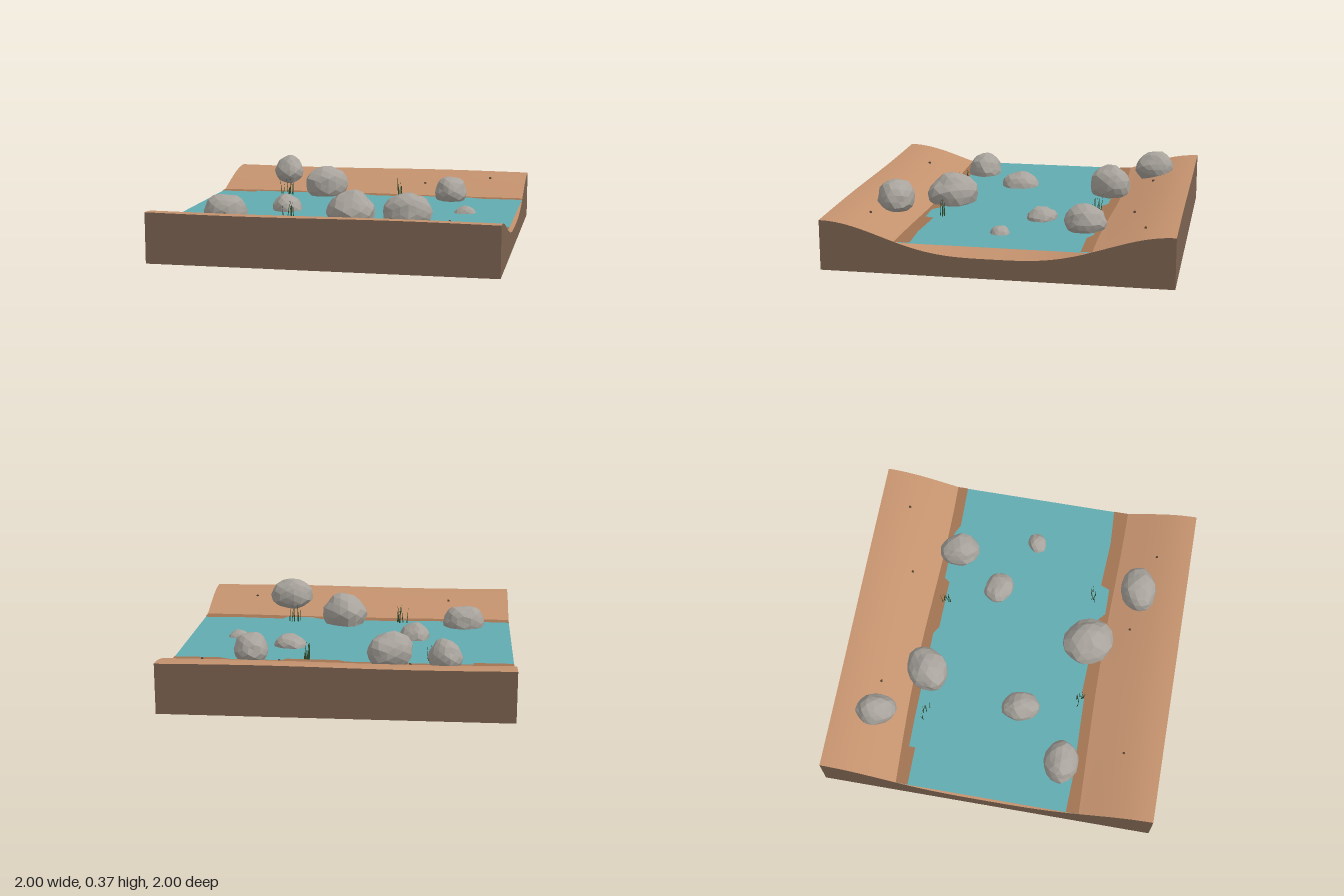
import * as THREE from 'three';

const HALF = 0.901;      // half side of the square tile
const WATER = 0.165;     // water level
const TURN = -0.1168;    // tile is turned slightly about y

// Height of the ground: a smooth river valley running along u
function groundHeight(u, v) {
  const bend = 0.015 * Math.sin(3.2 * u + 2.2) * (1 - (v / HALF) ** 2);
  const t = Math.min(1, Math.abs(v + bend) / 0.9);
  const s = (1 - Math.cos(Math.PI * t)) / 2;
  return 0.104 + 0.16 * Math.pow(s, 1.7) + 0.003 * Math.sin(4 * u) * t * t;
}

// Ground height at a model position (undoing the tile's turn)
function heightAt(x, z) {
  const c = Math.cos(TURN), s = Math.sin(TURN);
  return groundHeight(x * c - z * s, x * s + z * c);
}

function seeded(seed) {
  let n = seed;
  return () => (n = (n * 16807) % 2147483647) / 2147483647;
}

const mat = (color, extra = {}) => new THREE.MeshStandardMaterial({ color, ...extra });

function addMesh(parent, name, geometry, material) {
  const mesh = new THREE.Mesh(geometry, material);
  mesh.name = name;
  parent.add(mesh);
  return mesh;
}

// Sandy valley surface
function groundGeometry() {
  const g = new THREE.PlaneGeometry(2 * HALF, 2 * HALF, 40, 64).rotateX(-Math.PI / 2);
  const p = g.attributes.position;
  for (let i = 0; i < p.count; i++) p.setY(i, groundHeight(p.getX(i), p.getZ(i)));
  g.computeVertexNormals();
  return g;
}

// Upright side of the tile whose top edge follows the ground
function wallGeometry(angle) {
  const g = new THREE.PlaneGeometry(2 * HALF, 1, 64, 1).translate(0, 0.5, HALF).rotateY(angle);
  const p = g.attributes.position;
  for (let i = 0; i < p.count; i++) {
    p.setY(i, p.getY(i) > 0.5 ? groundHeight(p.getX(i), p.getZ(i)) : 0);
  }
  return g;
}

// Flat wet shore: ragged inner edge, outer edge buried in the bank
function shoreGeometry(inner, side) {
  const points = inner.map(([u, v]) => new THREE.Vector2(u, -v * side));
  points.push(new THREE.Vector2(HALF, -0.53 * side), new THREE.Vector2(-HALF, -0.53 * side));
  return new THREE.ShapeGeometry(new THREE.Shape(points)).rotateX(-Math.PI / 2);
}

// Faceted boulder: a sphere roughened by a rule that keeps shared corners together
function boulderGeometry(seed) {
  const g = new THREE.IcosahedronGeometry(1, 2);
  const p = g.attributes.position;
  const d = new THREE.Vector3();
  for (let i = 0; i < p.count; i++) {
    d.fromBufferAttribute(p, i).normalize();
    const wave = Math.sin(d.x * 5 + seed) + Math.sin(d.y * 6 + seed * 2) + Math.sin(d.z * 5.5 + seed * 3);
    const fine = Math.sin(Math.round(d.x * 100) * 1.3 + Math.round(d.y * 100) * 2.1 + Math.round(d.z * 100) * 3.7 + seed);
    d.multiplyScalar(0.97 + 0.022 * wave + 0.035 * fine);
    p.setXYZ(i, d.x, d.y, d.z);
  }
  g.computeVertexNormals();
  return g;
}

export function createModel() {
  const model = new THREE.Group();
  model.name = 'riverTile';

  const sand = mat(0xc4926e);
  const wetSand = mat(0xa07453, { side: THREE.DoubleSide });
  const earth = mat(0x7c6351);
  const water = mat(0x62abb0, { side: THREE.DoubleSide });
  const stone = mat(0xa8a39c, { flatShading: true });
  const reed = mat(0x2f4a2c);
  const pebbleMat = mat(0x5a4636, { flatShading: true });

  // Tile block
  const tile = new THREE.Group();
  tile.name = 'tile';
  tile.rotation.y = TURN;
  model.add(tile);
  addMesh(tile, 'ground', groundGeometry(), sand);
  for (let k = 0; k < 4; k++) addMesh(tile, 'earthSide', wallGeometry((k * Math.PI) / 2), earth);
  addMesh(tile, 'underside', new THREE.PlaneGeometry(2 * HALF, 2 * HALF).rotateX(Math.PI / 2), earth);

  // River surface
  addMesh(tile, 'water', new THREE.PlaneGeometry(2 * HALF, 0.98).rotateX(-Math.PI / 2), water).position.y = WATER;

  // Ragged shores
  const farEdge = [[-HALF, 0.428], [-0.69, 0.428], [-0.69, 0.462], [-0.5, 0.464], [-0.02, 0.46],
    [0.02, 0.434], [0.3, 0.43], [0.32, 0.46], [0.6, 0.46], [0.66, 0.432], [HALF, 0.435]];
  const nearEdge = [[-HALF, 0.437], [-0.7, 0.445], [-0.26, 0.435], [-0.22, 0.418], [0.04, 0.43],
    [0.22, 0.44], [0.26, 0.475], [0.41, 0.475], [0.43, 0.425], [0.7, 0.44], [HALF, 0.43]];
  addMesh(tile, 'farShore', shoreGeometry(farEdge, -1), wetSand).position.y = WATER + 0.004;
  addMesh(tile, 'nearShore', shoreGeometry(nearEdge, 1), wetSand).position.y = WATER + 0.004;

  // Boulders: x, z, radii x y z, top height, turn
  const boulders = [
    [-0.46, -0.73, 0.087, 0.095, 0.112, 0.362, 0.15],
    [-0.2, -0.47, 0.135, 0.11, 0.112, 0.337, 0.6],
    [0.535, -0.34, 0.095, 0.09, 0.115, 0.3, 0.2],
    [0.33, -0.107, 0.095, 0.075, 0.08, 0.232, -0.5],
    [0.62, 0.097, 0.07, 0.06, 0.058, 0.203, 0.3],
    [-0.37, 0.055, 0.085, 0.085, 0.11, 0.25, 0.1],
    [-0.675, 0.29, 0.122, 0.095, 0.098, 0.285, -0.1],
    [0.015, 0.41, 0.13, 0.125, 0.145, 0.337, 0.45],
    [0.325, 0.68, 0.13, 0.1, 0.102, 0.368, 0.1],
  ];
  boulders.forEach(([x, z, rx, ry, rz, top, turn], i) => {
    const b = addMesh(model, 'boulder', boulderGeometry(i * 1.7 + 1), stone);
    b.scale.set(rx, ry, rz);
    b.position.set(x, top - ry, z);
    b.rotation.y = turn;
  });

  // Reed clumps at the water's edge
  const rand = seeded(77);
  for (const [x, z] of [[-0.44, -0.465], [0.23, -0.4], [-0.315, 0.38], [0.31, 0.43]]) {
    const clump = new THREE.Group();
    clump.name = 'reedClump';
    clump.position.set(x, heightAt(x, z), z);
    for (let k = 0; k < 8; k++) {
      const height = 0.09 + 0.05 * rand();
      const blade = addMesh(clump, 'reed', new THREE.ConeGeometry(0.0035, height, 4).translate(0, height / 2, 0), reed);
      blade.position.set((rand() - 0.5) * 0.07, 0, (rand() - 0.5) * 0.04);
      blade.rotation.set((rand() - 0.5) * 0.25, 0, (rand() - 0.5) * 0.25);
    }
    model.add(clump);
  }

  // Small pebbles on the banks
  for (const [x, z] of [[-0.285, -0.717], [0.38, -0.6], [0.77, -0.647], [-0.62, 0.626], [0.1, 0.64], [0.54, 0.78]]) {
    const pebble = addMesh(model, 'pebble', new THREE.IcosahedronGeometry(0.008, 0), pebbleMat);
    pebble.position.set(x, heightAt(x, z) + 0.003, z);
  }

  return model;
}
